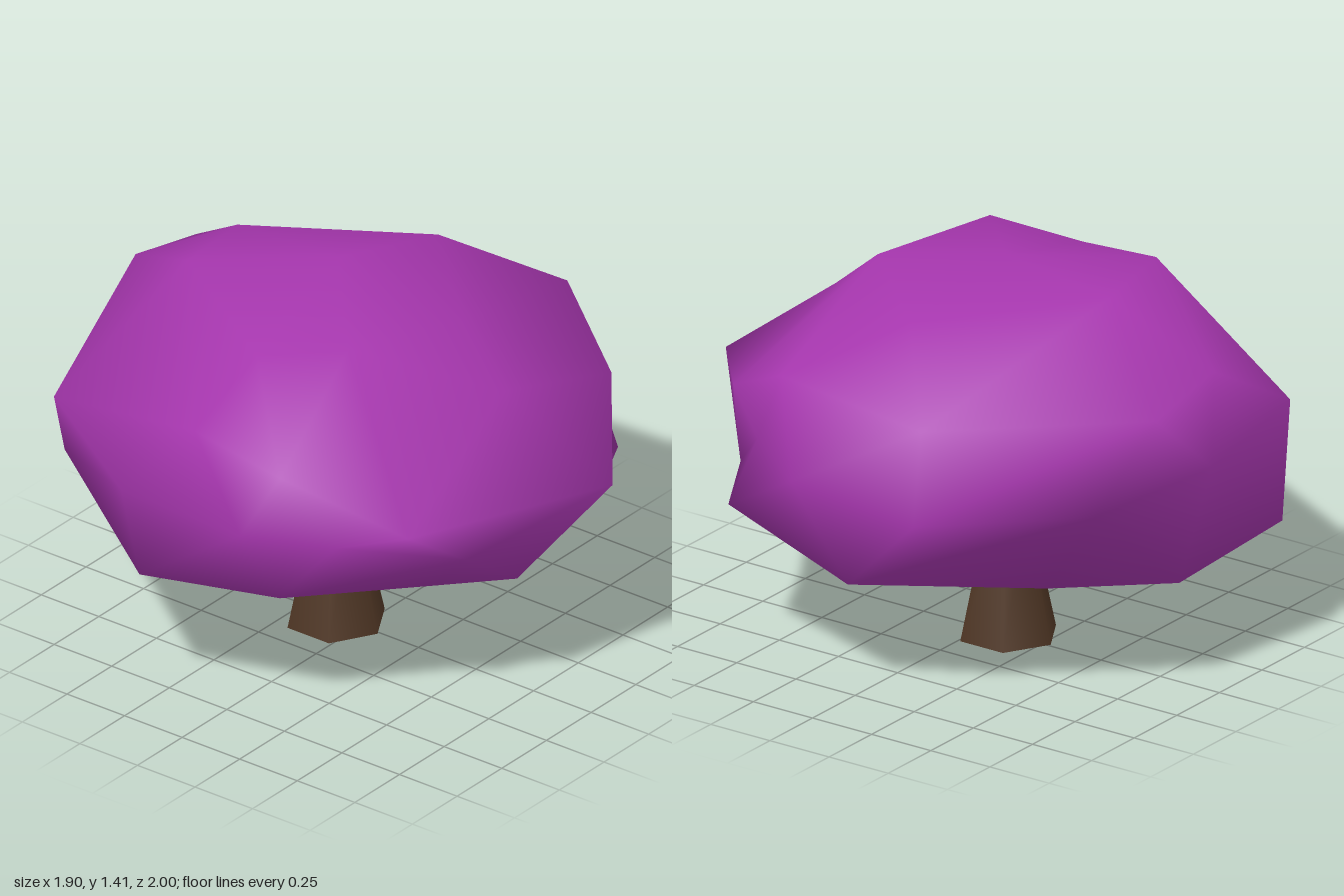
import * as THREE from 'three';

const SIZE = new THREE.Vector3(0.95, 0.58, 0.97);
const CENTRE = new THREE.Vector3(0, 0.83, 0);

// Places where the nearest corner of the canopy is tugged to, giving its lumpy outline
const TUGS = [
  // crown
  [0, 1.41, -0.1], [0.49, 1.305, -0.045], [-0.52, 1.27, -0.05],
  [-0.31, 1.395, -0.51], [0.03, 1.37, -0.56], [0.06, 1.31, 0.4], [-0.39, 1.34, 0.25],
  // front
  [0.12, 0.84, 1], [0, 1.13, 0.62], [-0.17, 0.535, 0.81], [-0.67, 0.88, 0.725],
  [-0.38, 0.68, 0.75], [0.59, 0.95, 0.63], [0.45, 0.6, 0.7],
  // left side
  [0.95, 0.785, -0.39], [0.89, 1.08, 0.06], [0.78, 1.06, -0.3], [0.89, 0.8, 0.17],
  [0.74, 0.85, 0.42], [0.73, 0.57, 0.55], [0.82, 0.44, -0.02],
  // right side
  [-0.955, 0.545, -0.22], [-0.92, 0.82, 0.19], [-0.835, 1.105, -0.075],
  [-0.8, 0.74, -0.42], [-0.76, 0.8, 0.48], [-0.8, 0.55, 0.27], [-0.8, 1.02, 0.27],
  // back
  [-0.37, 0.515, -1], [0.125, 0.43, -0.92], [-0.05, 1.16, -0.94],
  [0.29, 1.09, -0.94], [0.56, 0.81, -0.88], [-0.59, 0.86, -0.875],
  // underside
  [0.1, 0.245, -0.16], [0.41, 0.27, 0.17], [-0.06, 0.31, 0.37], [0.3, 0.38, 0.42],
  [-0.44, 0.33, 0],
].map(p => new THREE.Vector3(...p));

function canopyGeometry() {
  const geometry = new THREE.IcosahedronGeometry(1, 1);
  const pos = geometry.attributes.position;
  const base = [];
  for (let i = 0; i < pos.count; i++) {
    base.push(new THREE.Vector3().fromBufferAttribute(pos, i).multiply(SIZE).add(CENTRE));
  }
  const moved = base.map(p => p.clone());
  for (const target of TUGS) {
    let nearest = base[0];
    for (const p of base) {
      if (p.distanceToSquared(target) < nearest.distanceToSquared(target)) nearest = p;
    }
    base.forEach((p, i) => {
      if (p.distanceTo(nearest) < 1e-3) moved[i].copy(target);
    });
  }
  // Normals follow the plain ellipsoid, so the lumps stay softly shaded
  const normal = geometry.attributes.normal;
  const n = new THREE.Vector3();
  moved.forEach((p, i) => {
    pos.setXYZ(i, p.x, p.y, p.z);
    n.copy(base[i]).sub(CENTRE).divide(SIZE).divide(SIZE).normalize();
    normal.setXYZ(i, n.x, n.y, n.z);
  });
  return geometry;
}

export function createModel() {
  const group = new THREE.Group();
  group.name = 'tree';

  const purple = new THREE.MeshStandardMaterial({ color: 0xa536ad });
  purple.name = 'purple leaves';
  const brown = new THREE.MeshStandardMaterial({ color: 0x4f3624, side: THREE.DoubleSide });
  brown.name = 'brown bark';

  // Leaf canopy
  const canopy = new THREE.Mesh(canopyGeometry(), purple);
  canopy.name = 'canopy';
  group.add(canopy);

  // Tapered six-sided trunk, open at the ends
  const trunk = new THREE.Mesh(new THREE.CylinderGeometry(0.08, 0.18, 0.46, 6, 1, true), brown);
  trunk.name = 'trunk';
  trunk.position.set(-0.01, 0.23, -0.1);
  group.add(trunk);

  return group;
}
